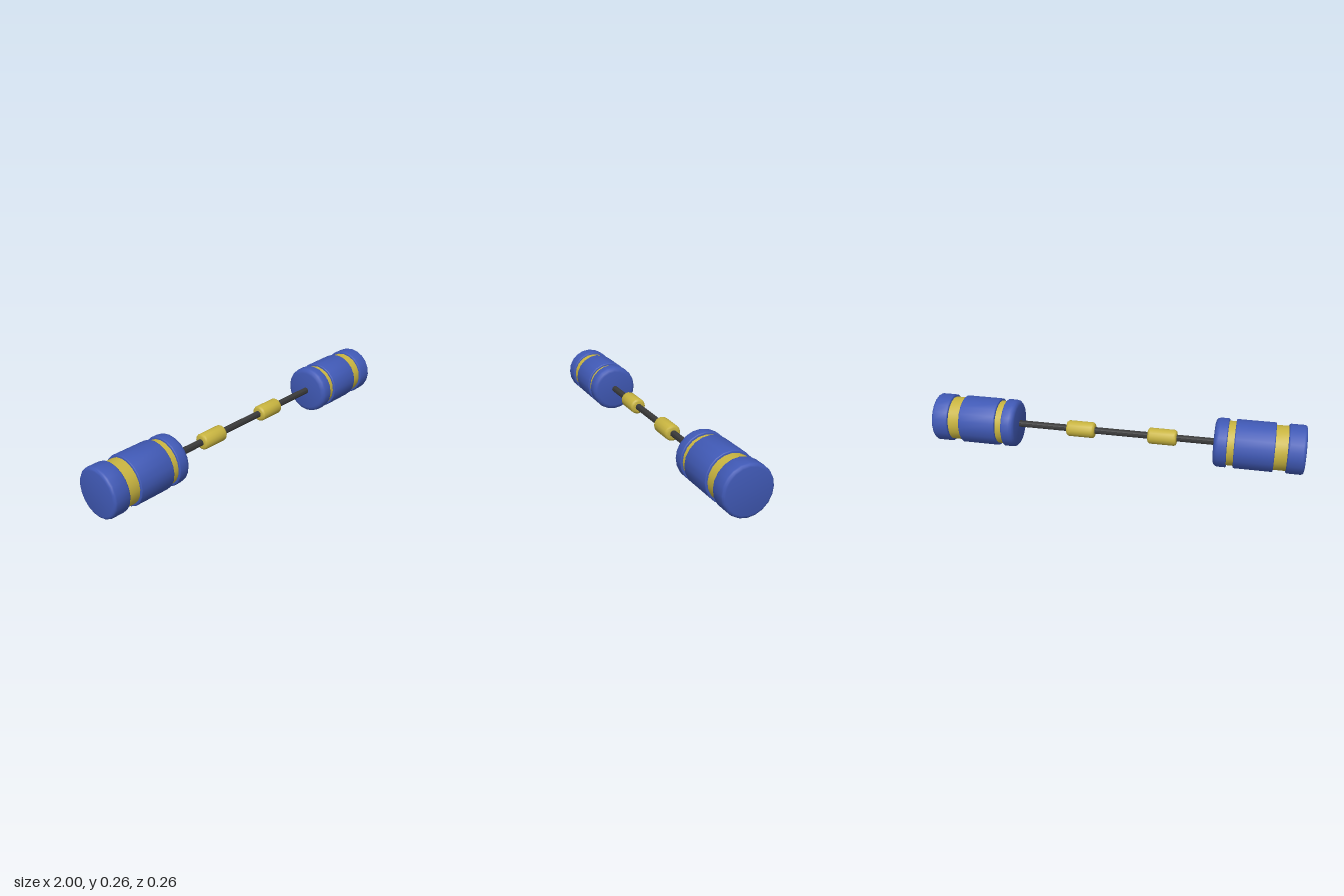
import * as THREE from 'three';
import { toCreasedNormals } from 'three/addons/utils/BufferGeometryUtils.js';

const AXIS_Y = 0.1325;
const blue = new THREE.MeshStandardMaterial({ color: 0x4059b5 });
const gold = new THREE.MeshStandardMaterial({ color: 0xc8b440 });
const dark = new THREE.MeshStandardMaterial({ color: 0x3a3a3a });

// Solid disc along x from x0 to x1, with a rounded rim of size b0 / b1 at each end
function roundedDisc(name, material, x0, x1, radius, b0 = 0, b1 = 0, sides = 20) {
  const points = [new THREE.Vector2(0, x0)];
  const steps = 3;
  if (b0) {
    for (let i = 0; i <= steps; i++) {
      const a = (i / steps) * Math.PI / 2;
      points.push(new THREE.Vector2(radius - b0 + b0 * Math.sin(a), x0 + b0 - b0 * Math.cos(a)));
    }
  } else points.push(new THREE.Vector2(radius, x0));
  if (b1) {
    for (let i = 0; i <= steps; i++) {
      const a = (i / steps) * Math.PI / 2;
      points.push(new THREE.Vector2(radius - b1 + b1 * Math.cos(a), x1 - b1 + b1 * Math.sin(a)));
    }
  } else points.push(new THREE.Vector2(radius, x1));
  points.push(new THREE.Vector2(0, x1));
  const lathe = new THREE.LatheGeometry(points, sides);
  lathe.rotateZ(-Math.PI / 2);
  const mesh = new THREE.Mesh(toCreasedNormals(lathe, 0.7), material);
  mesh.name = name;
  return mesh;
}

// One weighted head, built on the +x side
function createHead(name) {
  const head = new THREE.Group();
  head.name = name;
  head.add(
    roundedDisc('innerCap', blue, 0.534, 0.604, 0.13, 0.026, 0.005),
    roundedDisc('innerBand', gold, 0.59, 0.65, 0.118),
    roundedDisc('drum', blue, 0.64, 0.844, 0.13, 0.005, 0.005),
    roundedDisc('outerBand', gold, 0.835, 0.918, 0.118),
    roundedDisc('outerCap', blue, 0.908, 1, 0.13, 0.008, 0.016)
  );
  return head;
}

export function createModel() {
  const model = new THREE.Group();
  model.name = 'doubleHeadedBar';

  const leftHead = createHead('leftHead');
  const rightHead = createHead('rightHead');
  rightHead.rotation.y = Math.PI;

  // Bar and its two grip collars
  const bar = roundedDisc('bar', dark, -0.56, 0.56, 0.018, 0, 0, 12);
  const rightGrip = roundedDisc('rightGrip', gold, -0.335, -0.18, 0.043, 0.014, 0.014, 16);
  const leftGrip = roundedDisc('leftGrip', gold, 0.109, 0.264, 0.043, 0.014, 0.014, 16);

  model.add(leftHead, rightHead, bar, leftGrip, rightGrip);
  for (const part of model.children) part.position.y = AXIS_Y;
  return model;
}
